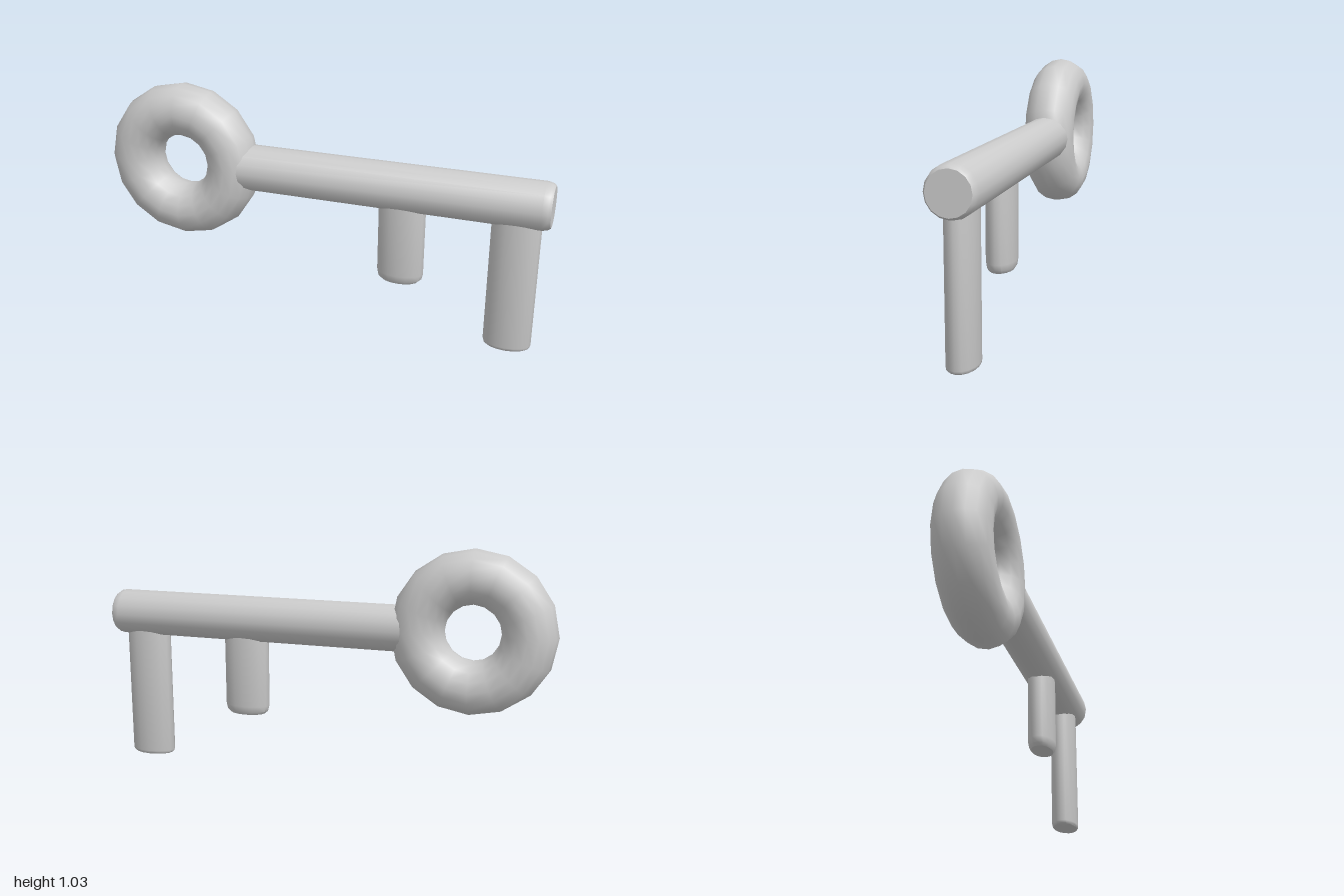
import * as THREE from 'three';
import { toCreasedNormals } from 'three/addons/utils/BufferGeometryUtils.js';

const AXIS_Y = 0.672;

export function createModel() {
  const model = new THREE.Group();
  const material = new THREE.MeshStandardMaterial({ color: 0xcccccc });

  const add = (name, geometry, x, y) => {
    const mesh = new THREE.Mesh(geometry, material);
    mesh.name = name;
    mesh.position.set(x, y, 0);
    model.add(mesh);
  };

  // Closed turned solid from [radius, height] pairs, listed bottom to top
  const turned = (profile) =>
    new THREE.LatheGeometry(profile.map(([r, y]) => new THREE.Vector2(r, y)), 16);

  // Ring handle
  add('ringHandle', new THREE.TorusGeometry(0.237, 0.117, 16, 16), -0.646, AXIS_Y);

  // Round shaft with a softened tip, lying along x
  const shaft = turned([[0, -0.42], [0.102, -0.42], [0.102, 0.965], [0.097, 0.988], [0.088, 1], [0, 1]]);
  shaft.rotateZ(-Math.PI / 2);
  add('shaft', toCreasedNormals(shaft, 0.7), 0, AXIS_Y);

  // Oval teeth hanging below the shaft, with rounded lower rims
  const tooth = (name, x, bottom, rimHeight, rimInset) => {
    const r = 0.104;
    const top = AXIS_Y - 0.04 - bottom;
    const geometry = turned([
      [0, 0], [r - rimInset, 0], [r - rimInset * 0.3, rimHeight * 0.35],
      [r, rimHeight], [r, top], [0, top],
    ]);
    geometry.scale(1, 1, 0.6);
    add(name, toCreasedNormals(geometry, 0.7), x, bottom);
  };
  tooth('shortTooth', 0.372, 0.235, 0.04, 0.022);
  tooth('longTooth', 0.859, 0, 0.015, 0.01);

  return model;
}
